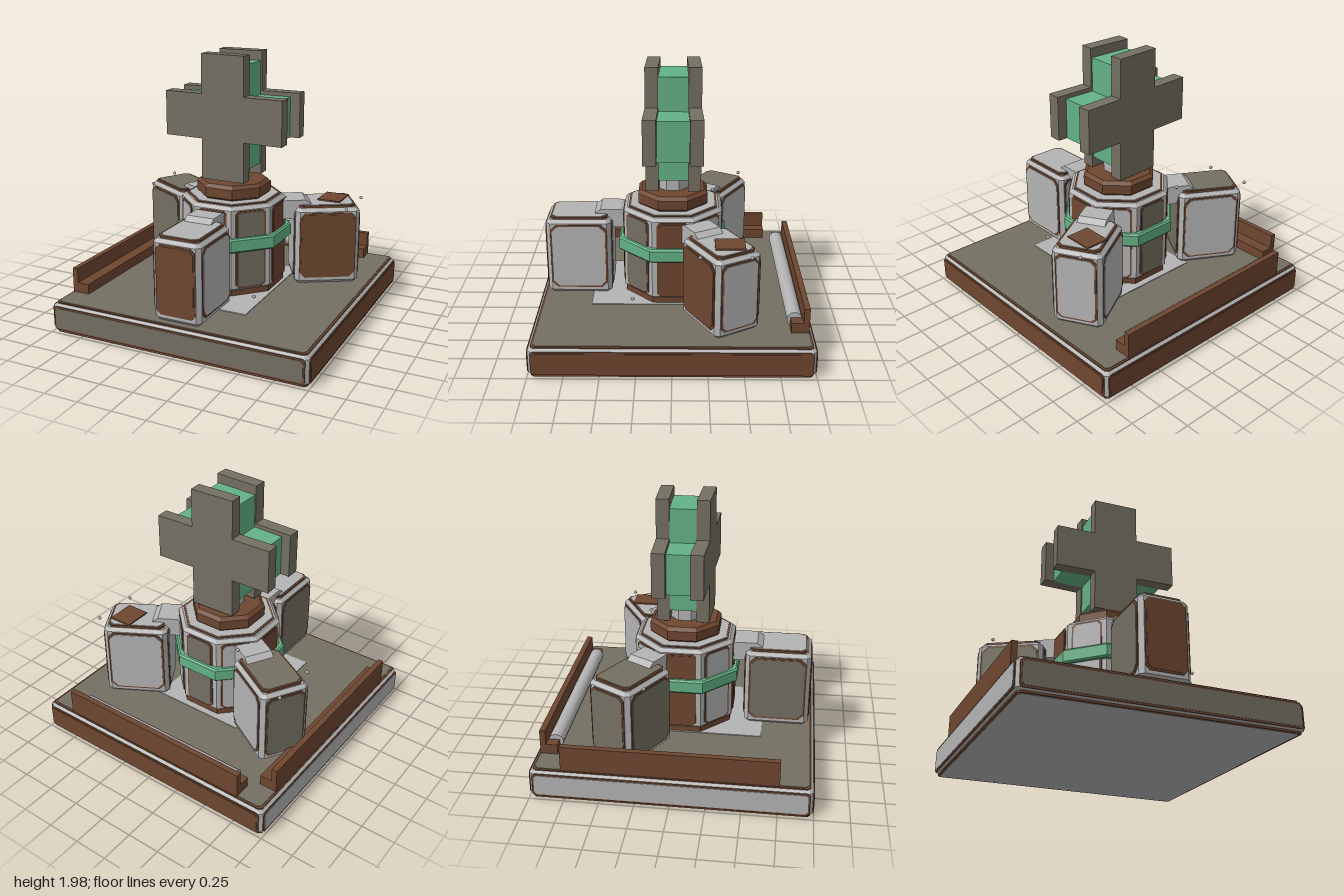
import * as THREE from 'three';

const mat = (name, color) => {
  const m = new THREE.MeshStandardMaterial({ color });
  m.name = name;
  return m;
};

export function createModel() {
  const grey = mat('light grey', 0xb4b4b5);
  const taupe = mat('taupe', 0x746f62);
  const brown = mat('brown', 0x6e4630);
  const green = mat('green', 0x64b286);
  const root = new THREE.Group();
  root.name = 'model';

  const add = (parent, name, geo, material, x = 0, y = 0, z = 0) => {
    const m = new THREE.Mesh(geo, material);
    m.name = name;
    m.position.set(x, y, z);
    parent.add(m);
    return m;
  };
  const group = (parent, name, x = 0, y = 0, z = 0, yaw = 0) => {
    const g = new THREE.Group();
    g.name = name;
    g.position.set(x, y, z);
    g.rotation.y = yaw;
    parent.add(g);
    return g;
  };
  const box = (parent, name, material, x0, x1, y0, y1, z0, z1) =>
    add(parent, name, new THREE.BoxGeometry(x1 - x0, y1 - y0, z1 - z0), material,
      (x0 + x1) / 2, (y0 + y1) / 2, (z0 + z1) / 2);

  // Outlines: rectangle with cut corners, regular octagon, plus sign
  const shapeOf = (pts) => new THREE.Shape(pts.map(([x, y]) => new THREE.Vector2(x, y)));
  const cutRect = (w, h, c) => {
    const a = w / 2, b = h / 2;
    return shapeOf([[a, -b + c], [a, b - c], [a - c, b], [-a + c, b], [-a, b - c], [-a, -b + c], [-a + c, -b], [a - c, -b]]);
  };
  const octagon = (apothem) => {
    const r = apothem / Math.cos(Math.PI / 8);
    return shapeOf([...Array(8).keys()].map((i) => {
      const t = (i + 0.5) * Math.PI / 4;
      return [r * Math.cos(t), r * Math.sin(t)];
    }));
  };
  const plus = (arm, halfW, y0, y1, a0, a1) => shapeOf([
    [-halfW, y0], [halfW, y0], [halfW, a0], [arm, a0], [arm, a1], [halfW, a1],
    [halfW, y1], [-halfW, y1], [-halfW, a1], [-arm, a1], [-arm, a0], [-halfW, a0]]);

  // Upright prism from y0 to y1 with chamfered rims
  const prism = (shape, y0, y1, bevel = 0) => {
    const g = new THREE.ExtrudeGeometry(shape, {
      depth: y1 - y0 - 2 * bevel, bevelEnabled: bevel > 0, bevelSegments: 1,
      bevelSize: bevel, bevelThickness: bevel, bevelOffset: -bevel,
    });
    return g.rotateX(-Math.PI / 2).translate(0, y0 + bevel, 0);
  };
  const plate = (shape, depth) => new THREE.ExtrudeGeometry(shape, { depth, bevelEnabled: false });

  // Coloured panel with a brown rim, lying on a face
  const panel = (parent, w, h, material, x, y, z, yaw, pitch = 0, rim = 0.006) => {
    const g = group(parent, 'panel', x, y, z);
    g.rotation.set(pitch, yaw, 0, 'YXZ');
    const c = Math.min(w, h) * 0.1;
    add(g, 'panelRim', plate(cutRect(w, h, c), rim), brown);
    add(g, 'panelFace', plate(cutRect(w - 0.026, h - 0.026, c), rim + 0.004), material);
  };

  // Base slab
  const base = group(root, 'base');
  add(base, 'baseFrame', prism(cutRect(1.98, 1.98, 0.025), 0.01, 0.224, 0.022), grey);
  [taupe, brown, brown, grey].forEach((m, i) => {
    const t = i * Math.PI / 2;
    panel(base, 1.94, 0.18, m, 0.99 * Math.sin(t), 0.118, 0.99 * Math.cos(t), t);
  });
  add(base, 'baseTopRim', prism(cutRect(1.94, 1.94, 0.02), 0.22, 0.23), brown);
  add(base, 'baseTop', prism(cutRect(1.91, 1.91, 0.02), 0.22, 0.234), taupe);
  add(base, 'baseBottomRim', prism(cutRect(1.95, 1.95, 0.02), 0.003, 0.02), brown);
  add(base, 'baseBottom', prism(cutRect(1.92, 1.92, 0.02), 0, 0.02), grey);
  box(base, 'floorPlate', grey, -0.36, 0.37, 0.23, 0.24, -0.4, 0.6);

  // Rails along the left-hand and rear edges, with a roller
  box(root, 'sideRailStep', brown, -0.96, -0.83, 0.23, 0.31, -0.77, 0.76);
  box(root, 'sideRailWall', brown, -0.962, -0.92, 0.23, 0.42, -0.77, 0.76);
  box(root, 'rearRailStep', brown, -0.77, 0.77, 0.23, 0.31, -0.96, -0.835);
  box(root, 'rearRailWall', brown, -0.77, 0.77, 0.23, 0.42, -0.962, -0.92);
  const roller = new THREE.CylinderGeometry(0.055, 0.055, 1.38, 12).rotateZ(Math.PI / 2);
  add(root, 'roller', roller, grey, -0.005, 0.295, -0.865);

  // Octagonal tower
  const tower = group(root, 'tower', -0.005, 0, 0);
  add(tower, 'towerFoot', prism(octagon(0.35), 0.235, 0.29), brown);
  add(tower, 'towerBody', prism(octagon(0.362), 0.27, 0.92, 0.025), grey);
  add(tower, 'towerTopRim', prism(octagon(0.325), 0.91, 0.926), brown);
  add(tower, 'towerTop', prism(octagon(0.31), 0.91, 0.93), grey);
  [brown, taupe, brown, grey, taupe, grey, brown, grey].forEach((m, i) => {
    const t = i * Math.PI / 4;
    panel(tower, 0.23, 0.59, m, 0.362 * Math.sin(t), 0.595, 0.362 * Math.cos(t), t);
  });
  add(tower, 'greenBand', prism(octagon(0.4), 0.587, 0.692, 0.012), green);
  add(tower, 'collar', prism(octagon(0.255), 0.92, 1.04, 0.025), brown);
  add(tower, 'neck', prism(octagon(0.11), 1.03, 1.16), grey);

  // Three modules around the tower: [yaw, outer, +x side, -x side, inner, top]
  const armProfile = shapeOf([[0.32, 0.74], [0.45, 0.74], [0.575, 0.8], [0.575, 0.85], [0.53, 0.885], [0.38, 0.885], [0.32, 0.86]]);
  const T = Math.PI * 2 / 3;
  [
    ['frontModule', 0, brown, grey, taupe, grey, grey],
    ['rightModule', T, grey, grey, brown, grey, grey],
    ['leftModule', -T, taupe, taupe, grey, taupe, taupe],
  ].forEach(([name, yaw, outer, plusX, minusX, inner, top]) => {
    const spoke = group(root, name, 0, 0, 0.01, yaw);
    const g = group(spoke, 'moduleBox', 0.01, 0, 0.69);
    add(g, 'moduleFrame', prism(cutRect(0.365, 0.48, 0.03), 0.24, 0.832, 0.025), grey);
    panel(g, 0.3, 0.51, outer, 0, 0.545, 0.24, 0);
    panel(g, 0.3, 0.51, inner, 0, 0.545, -0.24, Math.PI);
    panel(g, 0.42, 0.51, plusX, 0.1825, 0.545, 0, Math.PI / 2);
    panel(g, 0.42, 0.51, minusX, -0.1825, 0.545, 0, -Math.PI / 2);
    panel(g, 0.31, 0.42, top, 0, 0.832, 0, 0, -Math.PI / 2, 0.016);
    // Bridge to the tower
    const arm = plate(armProfile, 0.21).translate(0, 0, -0.105).rotateY(-Math.PI / 2);
    add(spoke, 'bridgeArm', arm, grey, -0.01);
  });
  box(root, 'hatch', brown, 0.555, 0.73, 0.845, 0.862, -0.505, -0.295);

  // Small rivets
  const rivet = new THREE.SphereGeometry(0.013, 8, 6);
  [[-0.82, 0.84, -0.54], [-0.82, 0.84, -0.19], [0.82, 0.84, -0.54], [0.82, 0.84, -0.19], [-0.31, 0.885, -0.31], [0.3, 0.245, 0.3]]
    .forEach((p) => add(root, 'rivet', rivet, grey, ...p));

  // Sign: two slightly splayed plus plates around a tapering core
  const sign = group(root, 'sign', -0.004, 0, 0);
  const plusPlate = plate(plus(0.467, 0.17, 1.06, 1.98, 1.36, 1.69), 0.095).translate(0, 0, -0.0475);
  [1, -1].forEach((s) => {
    const face = add(sign, s > 0 ? 'frontPlus' : 'rearPlus', plusPlate, taupe, 0, 0, s > 0 ? 0.145 : -0.153);
    face.rotation.y = -s * 0.033;
  });
  const core = plate(plus(0.395, 0.16, 1.14, 1.91, 1.36, 1.66), 0.21).translate(0, 0, -0.105);
  const pos = core.attributes.position;
  for (let i = 0; i < pos.count; i++) pos.setZ(i, pos.getZ(i) * (1 + 0.3 * pos.getX(i)) - 0.004);
  core.computeVertexNormals();
  add(sign, 'signCore', core, green);

  return root;
}
